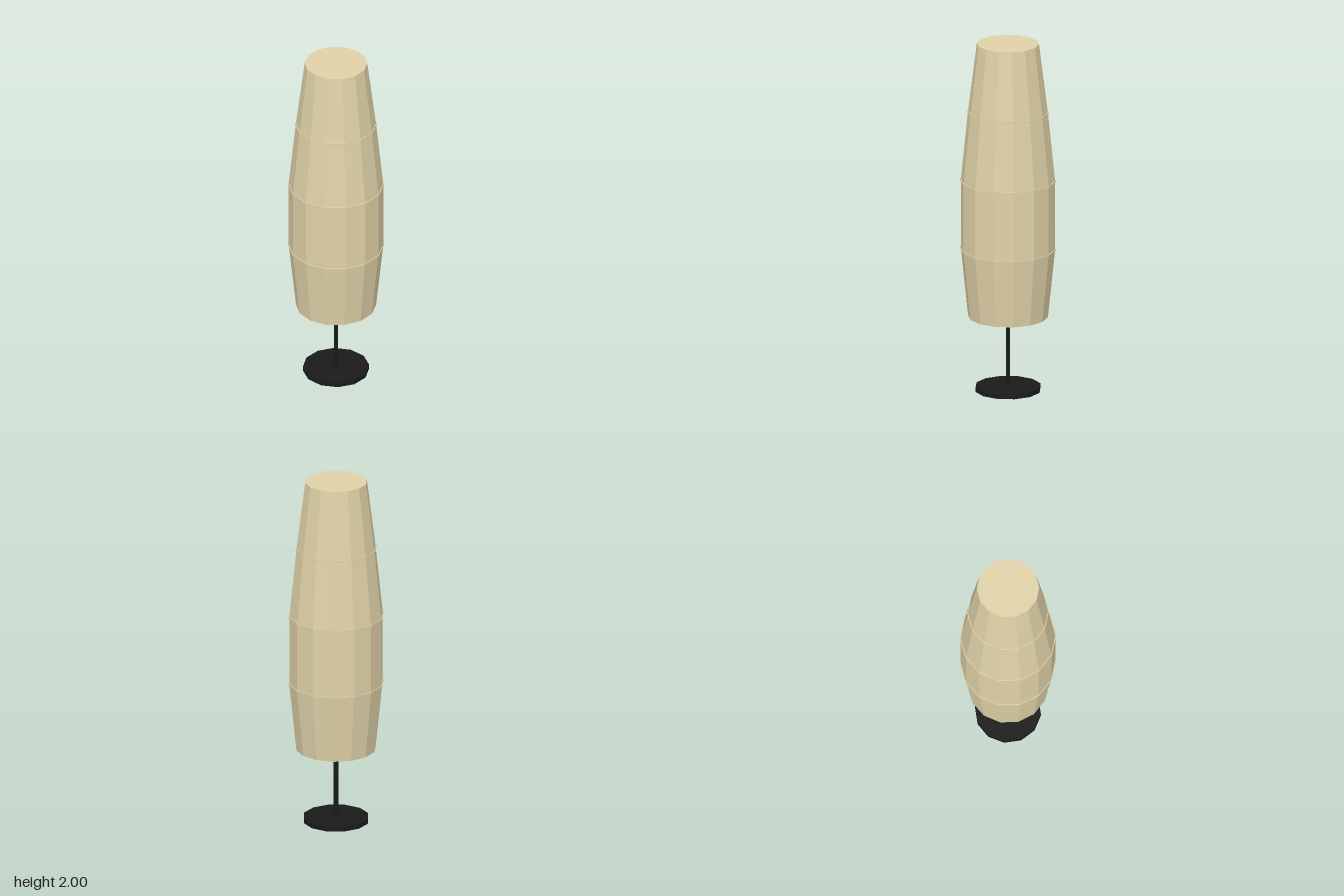
import * as THREE from 'three';

const SIDES = 14;

export function createModel() {
  const model = new THREE.Group();
  model.name = 'floorLamp';

  const shadeMat = new THREE.MeshStandardMaterial({ color: 0xe0d2a8, flatShading: true });
  const metalMat = new THREE.MeshStandardMaterial({ color: 0x1a1a1a, flatShading: true });

  // Upright tapered cylinder between two heights, with a corner on the x axis
  function addDrum(name, y0, y1, r0, r1, sides, material) {
    const geometry = new THREE.CylinderGeometry(r1, r0, y1 - y0, sides, 1, false, Math.PI / 2);
    const mesh = new THREE.Mesh(geometry, material);
    mesh.name = name;
    mesh.position.y = (y0 + y1) / 2;
    model.add(mesh);
  }

  // Foot and stem
  addDrum('base', 0, 0.028, 0.183, 0.183, 12, metalMat);
  addDrum('stem', 0.028, 0.427, 0.013, 0.013, 8, metalMat);

  // Shade: four stacked panels, [height, radius] at each joint
  const profile = [[0.427, 0.222], [0.818, 0.262], [1.212, 0.262], [1.606, 0.222], [2, 0.173]];
  for (let i = 0; i < profile.length - 1; i++) {
    const [y0, r0] = profile[i];
    const [y1, r1] = profile[i + 1];
    addDrum('shadePanel' + (i + 1), y0, y1, r0, r1, SIDES, shadeMat);
  }

  // Thin ribs over the three inner joints
  profile.slice(1, -1).forEach(([y, r], i) => {
    addDrum('shadeRib' + (i + 1), y - 0.004, y + 0.004, r + 0.004, r + 0.004, SIDES, shadeMat);
  });

  return model;
}
